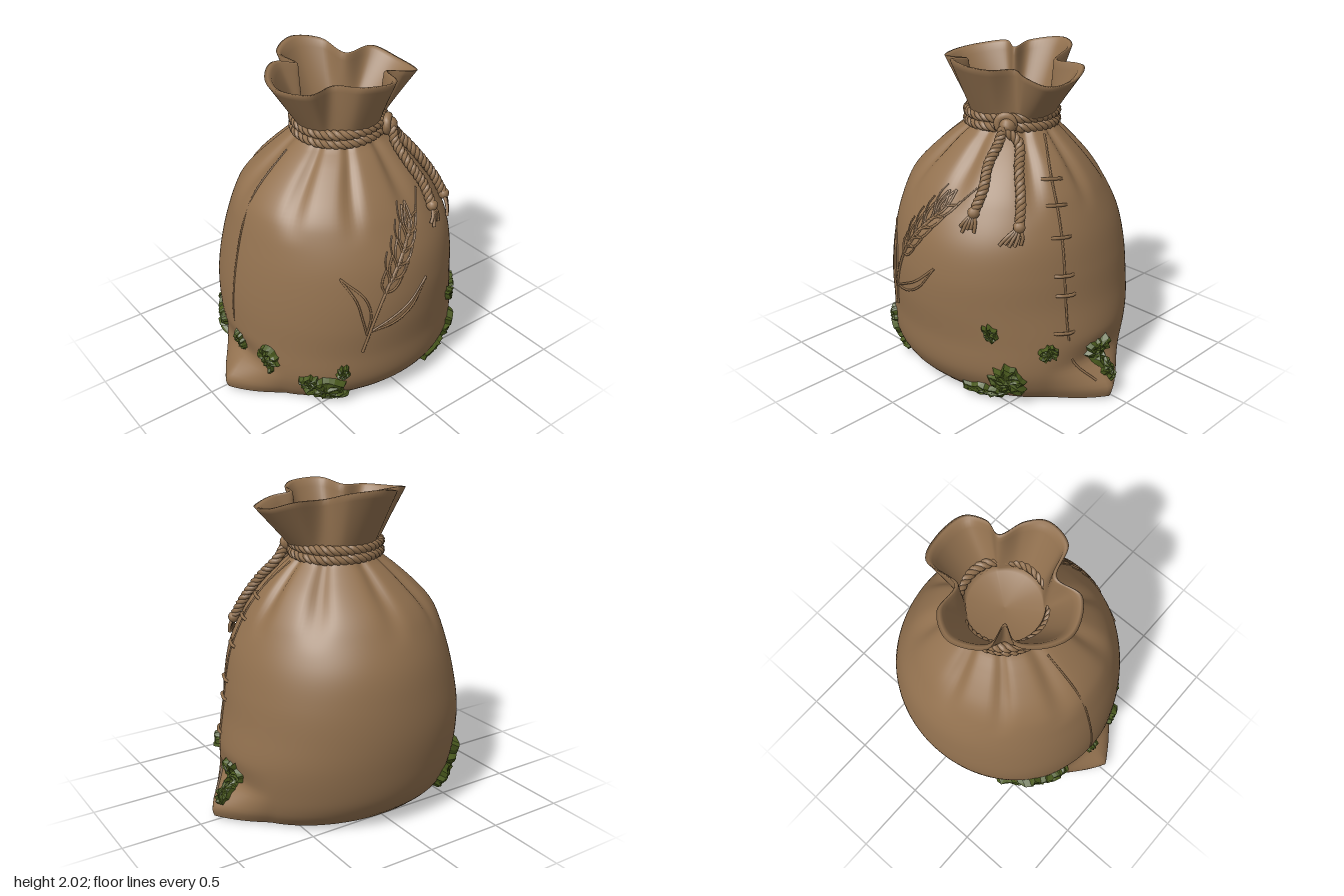
import * as THREE from 'three';

const V = (x, y, z) => new THREE.Vector3(x, y, z);
const burlap = new THREE.MeshStandardMaterial({ color: 0x92714f });
const moss = new THREE.MeshStandardMaterial({ color: 0x4a5a1e });
burlap.name = 'burlap';
moss.name = 'moss';

let seed = 7;
const rand = () => (seed = (seed * 16807) % 2147483647) / 2147483647;
const smooth = (a, b, v) => THREE.MathUtils.smoothstep(v, a, b);

// Sack profile rows: y, left x, right x, back z, front z
const rows = [
  [0, -.73, .73, -.52, .58], [.08, -.76, .76, -.61, .66], [.2, -.775, .775, -.68, .72],
  [.4, -.78, .775, -.73, .73], [.6, -.77, .745, -.75, .745], [.8, -.74, .72, -.735, .74],
  [1, -.695, .675, -.69, .7], [1.2, -.635, .59, -.595, .6], [1.3, -.57, .53, -.53, .53],
  [1.4, -.47, .455, -.44, .44], [1.5, -.35, .36, -.34, .34], [1.56, -.27, .3, -.28, .27],
  [1.63, -.22, .26, -.24, .23],
];

// Smooth cubic lookup of the profile: centre and half-width on both axes
function section(y) {
  let i = 0;
  while (i < rows.length - 2 && y > rows[i + 1][0]) i++;
  const a = rows[i], b = rows[i + 1], h = b[0] - a[0], t = (y - a[0]) / h;
  const p = rows[Math.max(0, i - 1)], n = rows[Math.min(rows.length - 1, i + 2)];
  const f = k => {
    const m0 = (b[k] - p[k]) / (b[0] - p[0]) * h, m1 = (n[k] - a[k]) / (n[0] - a[0]) * h;
    const t2 = t * t, t3 = t2 * t;
    return (2 * t3 - 3 * t2 + 1) * a[k] + (t3 - 2 * t2 + t) * m0 + (3 * t2 - 2 * t3) * b[k] + (t3 - t2) * m1;
  };
  const [l, r, k, z] = [1, 2, 3, 4].map(f);
  return { cx: (l + r) / 2, rx: (r - l) / 2, cz: (k + z) / 2, rz: (z - k) / 2 };
}

// Point on the sack with pleats under the neck and pinched corners at the foot
function P(th, y) {
  const s = section(y), c = Math.cos(th), n = Math.sin(th);
  const pleat = smooth(1.1, 1.45, y) * (1 - smooth(1.55, 1.63, y));
  const k = 1 - .09 * pleat * Math.abs(Math.cos(4.5 * th + .5 + .3 * Math.sin(3 * th))) ** 8
    + .006 * Math.sin(3 * th + 5 * y) * smooth(0, .3, y);
  const w = Math.max(0, 1 - Math.abs(Math.atan(n / (Math.abs(c) + 1e-6))) / .5);
  const ear = w * (.16 * (1 - smooth(.03, .24, y)) - .03 * smooth(.15, .25, y) * (1 - smooth(.25, .4, y)));
  return V(s.cx + s.rx * c * k + Math.sign(c) * ear, y, s.cz + s.rz * n * k);
}
function onSack(th, y, off = 0) {
  const p = P(th, y), e = .01;
  const n = P(th, y + e).sub(P(th, y - e)).cross(P(th + e, y).sub(P(th - e, y))).normalize();
  return p.addScaledVector(n, off);
}
const clampUnit = v => Math.max(-1, Math.min(1, v));
const onFront = (x, y, off) => { const s = section(y); return onSack(Math.acos(clampUnit((x - s.cx) / s.rx)), y, off); };
const onSide = (z, y, off, left = 1) => {
  const s = section(y), a = Math.asin(clampUnit((z - s.cz) / s.rz));
  return onSack(left > 0 ? a : Math.PI - a, y, off);
};

// Grid surface closed around u
function loft(nu, nv, f) {
  const pos = [], idx = [];
  for (let j = 0; j <= nv; j++) for (let i = 0; i < nu; i++) pos.push(...f(i / nu, j / nv, i, j).toArray());
  for (let j = 0; j < nv; j++) for (let i = 0; i < nu; i++) {
    const a = j * nu + i, b = j * nu + (i + 1) % nu;
    idx.push(a, a + nu, b, b, a + nu, b + nu);
  }
  const g = new THREE.BufferGeometry();
  g.setAttribute('position', new THREE.Float32BufferAttribute(pos, 3));
  g.setIndex(idx);
  g.computeVertexNormals();
  return g;
}

export function createModel() {
  const root = new THREE.Group();
  root.name = 'tiedSack';
  const add = (name, geo, mat = burlap, parent = root) => {
    const m = new THREE.Mesh(geo, mat);
    m.name = name;
    parent.add(m);
    return m;
  };
  const group = name => { const g = new THREE.Group(); g.name = name; root.add(g); return g; };
  const spline = (pts, closed = false) => new THREE.CatmullRomCurve3(pts, closed);
  const line = (name, pts, r, parent, n = 14) => add(name, new THREE.TubeGeometry(spline(pts), n, r, 5), burlap, parent);

  // Body and flat underside
  add('sackBody', loft(144, 64, (u, v) => P(u * Math.PI * 2, v * 1.63)));
  add('sackBottom', loft(144, 1, (u, v) => { const p = P(u * Math.PI * 2, 0); return V(p.x * v, 0, p.z * v); }));

  // Ruffled mouth: wavy rim lofted from the neck, folded back inside to a floor
  const rim = spline([
    [-.16, 1.95, -.2], [-.18, 1.97, -.36], [0, 2, -.47], [.16, 1.98, -.38], [.21, 1.93, -.19], [.42, 1.93, -.19],
    [.5, 1.88, -.03], [.48, 1.87, .17], [.34, 1.91, .22], [.23, 1.93, .19], [.17, 1.94, .34], [.07, 1.96, .42],
    [-.11, 1.97, .38], [-.18, 1.94, .2], [-.35, 1.93, .21], [-.46, 1.93, .02], [-.41, 1.95, -.14], [-.28, 1.97, -.25],
  ].map(p => V(...p)), true);
  const nu = 144, rimPts = rim.getPoints(nu);
  add('sackMouth', loft(nu, 22, (u, v, i, j) => {
    const p = rimPts[i], a = Math.atan2(p.z, p.x - .02);
    const wall = (t, k) => V(
      .02 + THREE.MathUtils.lerp(.24 * Math.cos(a), p.x - .02, t) * k,
      THREE.MathUtils.lerp(1.58, p.y, t),
      THREE.MathUtils.lerp(.24 * Math.sin(a), p.z, t) * k);
    if (j <= 10) return wall(j / 10, 1);
    if (j === 11) return wall(1, .96).setY(p.y + .004);
    if (j < 22) return wall((21 - j) / 9.2, .92);
    return V(.02, 1.56, 0);
  }));

  // Twisted rope along any curve
  function rope(name, curve, r, turns, n, closed, parent) {
    const fr = curve.computeFrenetFrames(n, closed);
    for (let s = 0; s < 3; s++) {
      const pts = [];
      for (let i = 0; i < n + (closed ? 0 : 1); i++) {
        const a = Math.PI * 2 * (turns * i / n + s / 3);
        pts.push(curve.getPointAt(i / n)
          .addScaledVector(fr.normals[i], Math.cos(a) * r * .5)
          .addScaledVector(fr.binormals[i], Math.sin(a) * r * .5));
      }
      add(name, new THREE.TubeGeometry(spline(pts, closed), n, r * .58, 6, closed), burlap, parent);
    }
  }
  const tie = group('neckRope');
  for (const y of [1.582, 1.638]) {
    const pts = [];
    for (let i = 0; i < 16; i++) {
      const a = i / 16 * Math.PI * 2;
      pts.push(V(.015 + .27 * Math.cos(a), y + .006 * Math.sin(2 * a), -.005 + .265 * Math.sin(a)));
    }
    rope('ropeCoil', spline(pts, true), .031, 14, 168, true, tie);
  }
  // Knot loop
  const knot = new THREE.TorusGeometry(.045, .026, 8, 18);
  knot.rotateY(.7);
  add('knot', knot, burlap, tie).position.set(.2, 1.62, .235);
  const wrap = new THREE.SphereGeometry(.05, 12, 8);
  add('knotCentre', wrap, burlap, tie).position.set(.215, 1.61, .235);

  // Hanging rope ends with frayed tips
  const tails = [
    [[.2, 1.5], [.22, 1.4], [.265, 1.28], [.27, 1.17]],
    [[.28, 1.5], [.36, 1.38], [.44, 1.24], [.485, 1.11]],
  ];
  for (const t of tails) {
    const pts = [V(.21, 1.6, .265), ...t.map(([x, y]) => onFront(x, y, .03))];
    rope('ropeTail', spline(pts), .03, 6, 60, false, tie);
    const [x, y] = t[3];
    add('endBinding', new THREE.SphereGeometry(.036, 10, 8), burlap, tie).position.copy(pts[4]);
    for (let k = -2; k <= 2; k++)
      line('frayedEnd', [pts[4], onFront(x + k * .014, y - .05, .03), onFront(x + k * .02 - .005, y - .075 - rand() * .03, .015)], .011, tie, 6);
  }

  // Side seams and stitches
  const seams = group('seams');
  const seamPts = [[.03, 1.54], [.14, 1.35], [.19, 1.15], [.22, .95], [.235, .7], [.24, .45], [.2, .25], [.1, .12]];
  line('rightSeam', seamPts.map(([z, y]) => onSide(z, y, .001)), .007, seams, 60);
  line('leftSeam', [1.5, 1.3, 1.1, .9, .7, .5, .3].map(y => onSide(-.04, y, .001, -1)), .006, seams, 60);
  for (const [z, y] of [[.14, 1.33], [.18, 1.2], [.21, 1.03], [.23, .81], [.23, .69], [.26, .46]])
    line('stitch', [-.06, -.03, 0, .03, .06].map(d => onSide(z + d, y + d * .1, Math.abs(d) > .05 ? -.005 : .012)), .011, seams, 10);

  // Raised ear of grain on the front
  const ear = group('grainEmblem');
  const stroke = (name, pts, r = .007) => line(name, pts.map(([x, y]) => onFront(x, y, .003)), r, ear);
  const leaf = (name, x0, y0, x1, y1, w, bend = 0) => {
    const dx = x1 - x0, dy = y1 - y0, l = Math.hypot(dx, dy), nx = -dy / l, ny = dx / l;
    for (const s of [-1, 1]) {
      const at = (t, o) => [x0 + dx * t + nx * o, y0 + dy * t + ny * o];
      stroke(name, [at(0, 0), at(.3, s * w * .85 + bend * .8), at(.6, s * w * .8 + bend), at(1, 0)]);
    }
  };
  const stem = [[-.315, .43], [-.26, .65], [-.18, .84], [-.07, 1], [.05, 1.13]];
  stroke('stem', stem, .01);
  leaf('blade', -.3, .56, -.42, .95, .03, -.045);
  leaf('blade', -.28, .58, .11, .83, .025, -.045);
  for (let i = 0; i < 5; i++) {
    const x = -.19 + i * .056, y = .83 + i * .072;
    for (const s of [-1, 1]) {
      const a = .98 + s * .42, tx = x + Math.cos(a) * .14, ty = y + Math.sin(a) * .14;
      leaf('grain', x, y, tx, ty, .026);
      if (ty < 1.25) stroke('awn', [[tx, ty], [tx + .02 - s * .015, ty + .05], [tx + .05 - s * .02, ty + .1]], .005);
    }
  }
  leaf('grain', .04, 1.12, .1, 1.26, .026);

  // Ragged moss patches: angle, height, half-width, half-height
  const patches = group('mossPatches');
  const patch = (th, y, a, b, h = .035) => {
    const n = 22, edge = Array.from({ length: n }, () => .65 + rand() * .5);
    const g = loft(n, 5, (u, v, i, j) => {
      const f = u * Math.PI * 2, r = (1 - v) * edge[i];
      const off = j === 0 ? -.012 : j === 5 ? h : h * (.45 + rand() * .7);
      return onSack(th + Math.cos(f) * r * a / .75, Math.max(.012, y + Math.sin(f) * r * b), off);
    }).toNonIndexed();
    g.computeVertexNormals();
    add('mossPatch', g, moss, patches);
  };
  const frontAngle = (x, y) => { const s = section(y); return Math.acos(clampUnit((x - s.cx) / s.rx)); };
  for (const [x, y, a, b] of [
    [.36, .06, .17, .06], [.52, .16, .13, .12], [.44, .48, .06, .06], [.68, .35, .07, .06],
    [-.5, .14, .14, .1], [-.43, .06, .1, .05], [-.58, .2, .08, .06], [-.42, .28, .05, .06], [-.73, .31, .09, .11],
  ]) patch(frontAngle(x, y), y, a, b);
  patch(0, .27, .13, .1);
  patch(-.04, .15, .06, .07);
  patch(Math.PI, .31, .06, .08);
  patch(Math.PI + .62, .22, .17, .13, .045);
  patch(Math.PI + .85, .12, .16, .1, .045);
  patch(Math.PI + .4, .3, .08, .06);
  return root;
}
